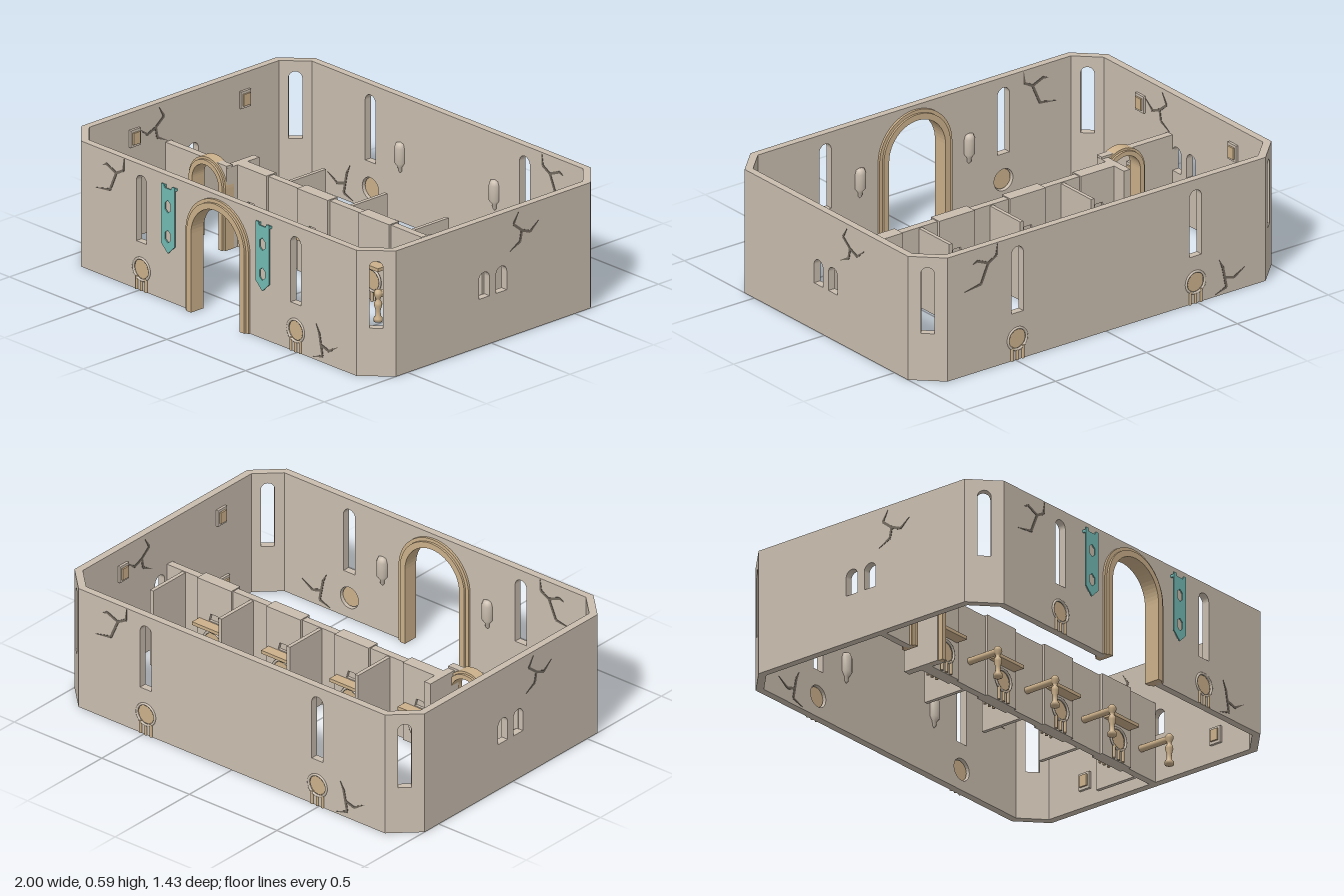
import * as THREE from 'three';

const mat = (name, color, side = THREE.FrontSide) => {
  const m = new THREE.MeshStandardMaterial({ color, side });
  m.name = name;
  return m;
};

export function createModel() {
  const stone = mat('stone', 0xc9bdae);
  const tan = mat('tan', 0xcbb08a);
  const teal = mat('teal', 0x72bab3, THREE.DoubleSide);
  const dark = mat('crack', 0x71695f);
  const root = new THREE.Group();
  root.name = 'hall';
  const H = 0.59, T = 0.035, MID = -0.0125, ROW = 0.385;

  const add = (parent, name, geo, material, x = 0, y = 0, z = 0) => {
    const m = new THREE.Mesh(geo, material);
    m.name = name;
    m.position.set(x, y, z);
    parent.add(m);
    return m;
  };
  const box = (p, name, material, w, h, d, x, y, z) => add(p, name, new THREE.BoxGeometry(w, h, d), material, x, y, z);
  const extrude = (shape, depth) =>
    new THREE.ExtrudeGeometry(shape, { depth, bevelEnabled: false, curveSegments: 14 });
  const poly = (pts) => new THREE.Shape(pts.map((p) => new THREE.Vector2(...p)));

  // Round-topped outline; top is the crown height
  const archPath = (x, bottom, top, r) => {
    const s = new THREE.Shape();
    s.moveTo(x - r, bottom);
    s.lineTo(x + r, bottom);
    s.lineTo(x + r, top - r);
    s.absarc(x, top - r, r, 0, Math.PI, false);
    s.closePath();
    return s;
  };
  const circle = (x, y, r) => new THREE.Path().absarc(x, y, r, 0, Math.PI * 2, true);

  // Upright panel from y = 0 with an optional central doorway {x, r, top}
  const panelShape = (w, h, holes = [], door = null) => {
    const s = new THREE.Shape();
    s.moveTo(-w / 2, 0);
    if (door) {
      s.lineTo(door.x - door.r, 0);
      s.lineTo(door.x - door.r, door.top - door.r);
      s.absarc(door.x, door.top - door.r, door.r, Math.PI, 0, true);
      s.lineTo(door.x + door.r, 0);
    }
    s.lineTo(w / 2, 0);
    s.lineTo(w / 2, h);
    s.lineTo(-w / 2, h);
    s.closePath();
    s.holes.push(...holes);
    return s;
  };

  // Door moulding: an arch band of given radii, centred in depth
  const archBand = (p, name, x, z, outer, inner, spring, depth) => {
    const s = new THREE.Shape();
    s.moveTo(outer, 0);
    s.lineTo(outer, spring);
    s.absarc(0, spring, outer, 0, Math.PI, false);
    s.lineTo(-outer, 0);
    s.lineTo(-inner, 0);
    s.lineTo(-inner, spring);
    s.absarc(0, spring, inner, Math.PI, 0, true);
    s.lineTo(inner, 0);
    s.closePath();
    add(p, name, extrude(s, depth), tan, x, 0, z - depth / 2);
  };

  // Jagged crack made from tapered slivers, showing on both wall faces
  const crack = (p, lines) => {
    for (const line of lines) {
      for (let i = 0; i < line.length - 1; i++) {
        const [ax, ay] = line[i], [bx, by] = line[i + 1];
        const len = Math.hypot(bx - ax, by - ay), last = i === line.length - 2;
        const nx = -(by - ay) / len * 0.006, ny = (bx - ax) / len * 0.006, e = last ? 0.15 : 1;
        const s = poly([[ax - nx, ay - ny], [bx - nx * e, by - ny * e], [bx + nx * e, by + ny * e], [ax + nx, ay + ny]]);
        add(p, 'crack', extrude(s, T + 0.004), dark, 0, 0, -T - 0.002);
      }
    }
  };

  // Round medallion with three little legs, facing +z
  const medallion = (p, x, z) => {
    const g = new THREE.Group();
    g.name = 'medallion';
    g.position.set(x, 0, z);
    p.add(g);
    const disc = add(g, 'medallionDisc', new THREE.CylinderGeometry(0.047, 0.047, 0.016, 28), tan, 0, 0.1, -0.014);
    disc.rotation.x = Math.PI / 2;
    add(g, 'medallionRing', new THREE.TorusGeometry(0.051, 0.006, 8, 28), stone, 0, 0.1, 0);
    for (const dx of [-0.03, 0, 0.03])
      add(g, 'medallionLeg', new THREE.CylinderGeometry(0.007, 0.007, dx ? 0.064 : 0.048, 10), tan, dx, dx ? 0.032 : 0.024, 0);
  };

  const wallGroup = (p, name, x, z, angle) => {
    const g = new THREE.Group();
    g.name = name;
    g.position.set(x, 0, z);
    g.rotation.y = angle;
    p.add(g);
    return g;
  };

  // Outer shell: two halves, the second turned half way round
  for (const front of [true, false]) {
    const half = new THREE.Group();
    half.name = front ? 'frontHalf' : 'backHalf';
    half.position.z = MID;
    if (!front) half.rotation.y = Math.PI;
    root.add(half);

    const long = wallGroup(half, 'longWall', 0, 0.7025, 0);
    const holes = [-0.49, 0.49].flatMap((x) => [archPath(x, 0.225, 0.54, 0.033), circle(x, 0.1, 0.052)]);
    add(long, 'longWallPanel', extrude(panelShape(1.75, H, holes, front ? { x: 0, r: 0.175, top: 0.545 } : null), T), stone, 0, 0, -T);
    for (const x of [-0.49, 0.49]) medallion(long, x, 0);
    crack(long, [
      [[-0.65, 0.505], [-0.69, 0.415], [-0.78, 0.4]],
      [[-0.65, 0.505], [-0.605, 0.53], [-0.6, 0.585]],
      [[-0.65, 0.505], [-0.71, 0.53], [-0.735, 0.52]],
      [[0.65, 0.08], [0.64, 0.13], [0.62, 0.17]],
      [[0.65, 0.08], [0.66, 0.03], [0.6, 0.01]],
      [[0.65, 0.08], [0.7, 0.065], [0.76, 0.1]],
    ]);

    // Wall lamps on the inner face
    const lamp = [[0, 0], [0.01, 0.01], [0.012, 0.03], [0.027, 0.05], [0.027, 0.12], [0.02, 0.14], [0, 0.145]];
    for (const x of [-0.3, 0.3])
      add(long, 'wallLamp', new THREE.LatheGeometry(lamp.map((q) => new THREE.Vector2(...q)), 18), stone, x, 0.23, -T);

    const side = wallGroup(half, 'sideWall', 1, 0, Math.PI / 2);
    const pair = [-0.055, 0.048].map((x) => archPath(x, 0.225, 0.345, 0.032));
    add(side, 'sideWallPanel', extrude(panelShape(1.165, H, pair), T), stone, 0, 0, -T);
    crack(side, [
      [[0.17, 0.48], [0.16, 0.43], [0.1, 0.4]],
      [[0.17, 0.48], [0.12, 0.52], [0.15, 0.57]],
      [[0.17, 0.48], [0.22, 0.46], [0.27, 0.5]],
    ]);
    // Small boxes fixed to the inner face
    for (const [x, y] of [[-0.38, 0.12], [0.36, 0.12], [-0.36, 0.47], [0.3, 0.47]]) {
      box(side, 'wallBoxFrame', stone, 0.06, 0.08, 0.012, x, y, -T - 0.006);
      box(side, 'wallBox', tan, 0.04, 0.055, 0.02, x, y, -T - 0.01);
    }

    // Bevelled corners, each with a tall window
    for (const s of [-1, 1]) {
      const corner = wallGroup(half, 'cornerWall', s * 0.9375, 0.6425, s * Math.atan2(0.12, 0.125));
      add(corner, 'cornerPanel', extrude(panelShape(0.173, H, [archPath(0, 0.225, 0.54, 0.03)]), T), stone, 0, 0, -T);
    }
  }

  // Main doorway
  archBand(root, 'mainArchOuter', 0, 0.672, 0.2, 0.175, 0.37, 0.056);
  archBand(root, 'mainArchInner', 0, 0.672, 0.184, 0.155, 0.37, 0.076);

  // Banners with hexagonal openings and forked tops
  for (const x of [-0.3, 0.3]) {
    const s = poly([[-0.042, 0.275], [0, 0.235], [0.042, 0.275], [0.042, 0.555], [0.026, 0.555], [0.02, 0.54],
      [-0.02, 0.54], [-0.026, 0.555], [-0.042, 0.555]]);
    for (const y of [0.455, 0.315])
      s.holes.push(poly([[0, y - 0.03], [-0.018, y - 0.015], [-0.018, y + 0.015], [0, y + 0.03], [0.018, y + 0.015], [0.018, y - 0.015]]));
    add(root, 'banner', extrude(s, 0.006), teal, x, 0, 0.706);
    for (const dx of [-0.034, 0.034]) box(root, 'bannerBracket', teal, 0.008, 0.012, 0.018, x + dx, 0.54, 0.698);
  }

  // Dividing row of service booths
  const row = new THREE.Group();
  row.name = 'boothRow';
  root.add(row);
  box(row, 'rowWall', stone, 1.54, ROW - 0.005, 0.035, 0.196, (ROW - 0.005) / 2, 0.005);
  for (const x of [-0.49, -0.1, 0.29, 0.685]) {
    const slot = poly([[-0.03, 0.195], [-0.02, 0.23], [0.02, 0.23], [0.03, 0.195]]);
    add(row, 'boothPanel', extrude(panelShape(0.195, ROW, [slot]), 0.06), stone, x, 0, -0.025);
    box(row, 'boothCounter', tan, 0.17, 0.016, 0.165, x, 0.182, 0.008);
    medallion(row, x, 0.045);
    const rear = wallGroup(row, 'boothRear', x, -0.035, Math.PI);
    medallion(rear, 0, 0);
  }

  // Screens behind the row; turned posts and low rails in front
  const post = [[0, 0], [0.02, 0], [0.02, 0.015], [0.012, 0.025], [0.011, 0.05], [0.018, 0.075], [0.017, 0.088],
    [0.009, 0.1], [0.011, 0.108], [0.019, 0.125], [0.018, 0.137], [0.01, 0.147], [0, 0.15]];
  const postGeo = new THREE.LatheGeometry(post.map((q) => new THREE.Vector2(...q)), 18);
  for (const x of [-0.3, 0.09, 0.48, 0.87]) {
    box(row, 'screen', stone, 0.018, ROW - 0.01, 0.225, x, (ROW - 0.01) / 2, -0.115);
    add(row, 'post', postGeo, tan, x - 0.005, 0, 0.183);
    const rail = add(row, 'rail', new THREE.CylinderGeometry(0.016, 0.016, 0.17, 14), tan, x - 0.005, 0.125, 0.1);
    rail.rotation.x = Math.PI / 2;
  }

  // Inner doorway at the left end of the row
  box(row, 'returnWall', stone, 0.036, ROW, 0.19, -0.592, ROW / 2, 0.0);
  const doorWall = panelShape(0.4, ROW + 0.01, [], { x: 0.085, r: 0.1, top: 0.375 });
  add(row, 'doorWall', extrude(doorWall, T), stone, -0.775, 0, 0.065);
  archBand(row, 'innerArchOuter', -0.69, 0.083, 0.117, 0.098, 0.29, 0.052);
  archBand(row, 'innerArchInner', -0.69, 0.083, 0.106, 0.084, 0.29, 0.074);

  return root;
}
